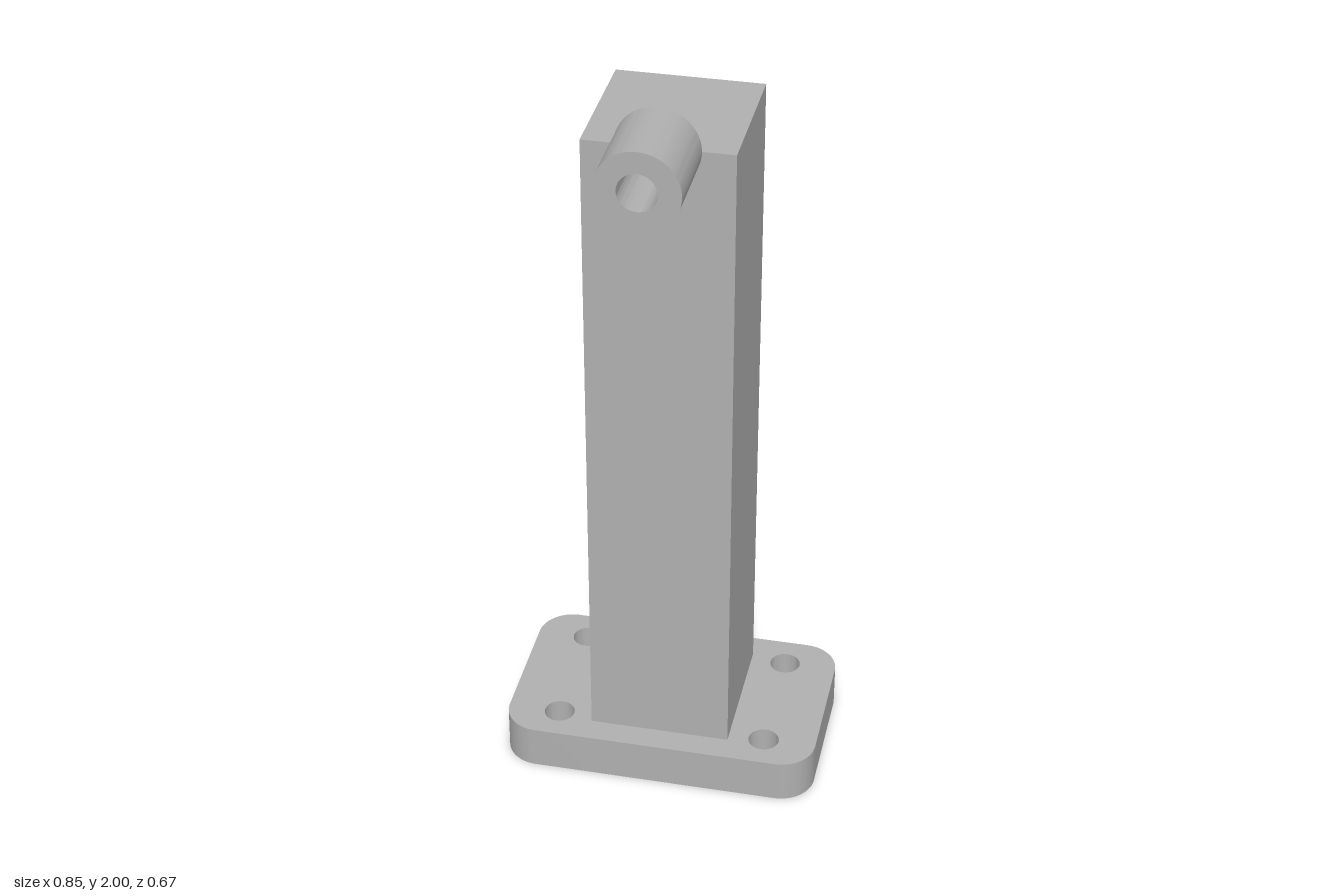
import * as THREE from 'three';
import { toCreasedNormals } from 'three/addons/utils/BufferGeometryUtils.js';

const CREASE = 0.6;

export function createModel() {
  const model = new THREE.Group();
  model.name = 'postWithBoss';
  const grey = new THREE.MeshStandardMaterial({ color: 0xb0b0b0 });
  grey.name = 'grey';

  const add = (name, geometry, x, y, z) => {
    const mesh = new THREE.Mesh(geometry, grey);
    mesh.name = name;
    mesh.position.set(x, y, z);
    model.add(mesh);
  };

  // Base plate: rounded rectangle with four bolt holes
  const w = 0.424, d = 0.259, r = 0.094, thickness = 0.12;
  const outline = new THREE.Shape();
  outline.absarc(w - r, d - r, r, 0, Math.PI / 2);
  outline.absarc(-w + r, d - r, r, Math.PI / 2, Math.PI);
  outline.absarc(-w + r, -d + r, r, Math.PI, Math.PI * 1.5);
  outline.absarc(w - r, -d + r, r, Math.PI * 1.5, Math.PI * 2);
  outline.closePath();
  for (const sx of [-1, 1]) {
    for (const sz of [-1, 1]) {
      const hole = new THREE.Path();
      hole.absarc(sx * 0.283, sz * 0.166, 0.041, 0, Math.PI * 2, true);
      outline.holes.push(hole);
    }
  }
  const plate = new THREE.ExtrudeGeometry(outline, { depth: thickness, bevelEnabled: false, curveSegments: 24 });
  plate.rotateX(-Math.PI / 2);
  add('basePlate', toCreasedNormals(plate, CREASE), 0, 0, -0.078);

  // Square column
  const top = 1.895;
  add('column', new THREE.BoxGeometry(0.376, top - thickness, 0.376), 0, (top + thickness) / 2, -0.078);

  // Cylindrical boss with a blind bore open to the front
  const R = 0.105, bore = 0.049, length = 0.225, depth = 0.17;
  const profile = [
    [0, 0], [R, 0], [R, length], [bore, length], [bore, length - depth], [0, length - depth],
  ].map(([x, y]) => new THREE.Vector2(x, y));
  const boss = new THREE.LatheGeometry(profile, 64);
  boss.rotateX(Math.PI / 2);
  add('boss', toCreasedNormals(boss, CREASE), 0, top, 0.11);

  return model;
}
